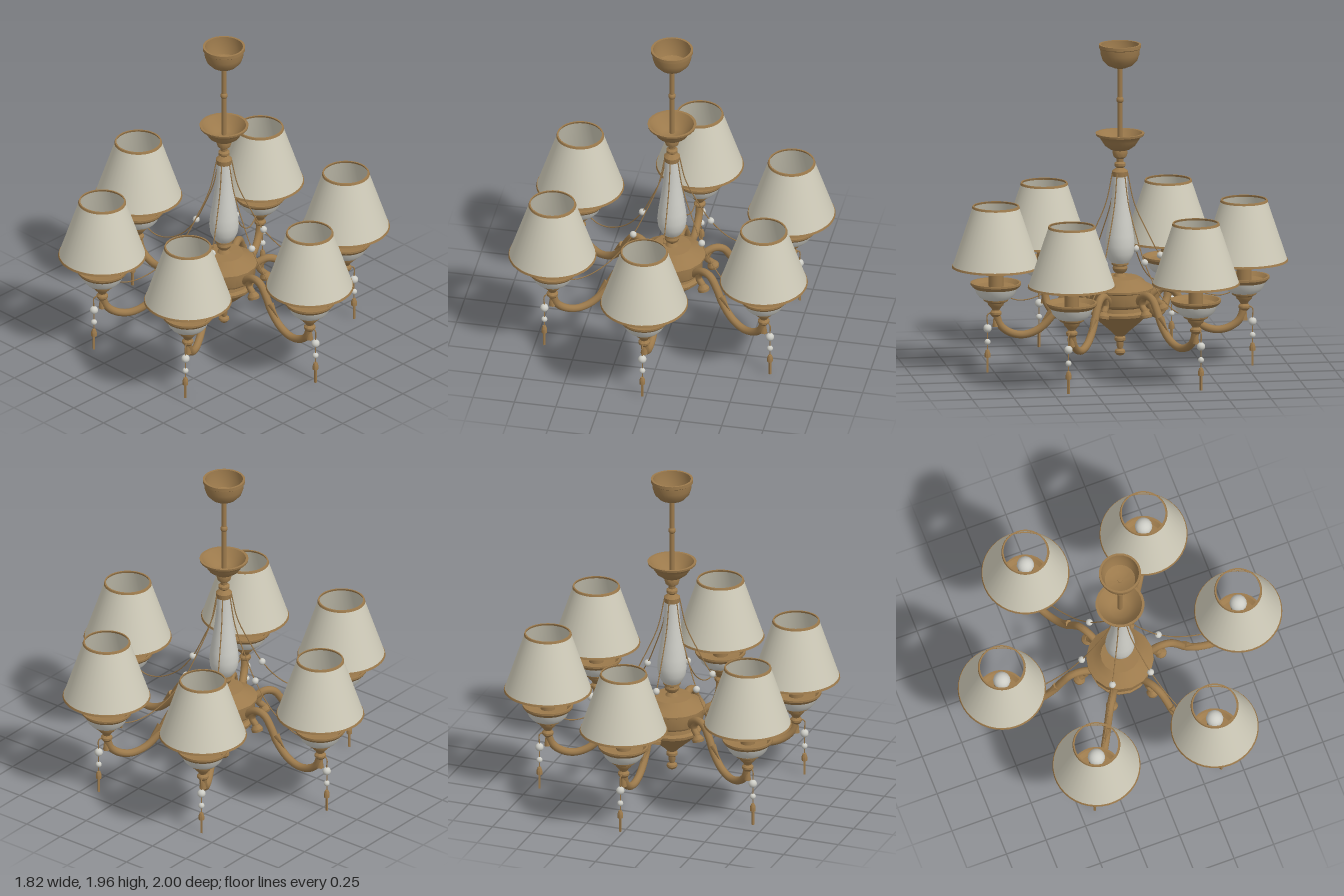
import * as THREE from 'three';
import { toCreasedNormals } from 'three/addons/utils/BufferGeometryUtils.js';

const mat = (name, color, side = THREE.FrontSide) => {
  const m = new THREE.MeshStandardMaterial({ color, side });
  m.name = name;
  return m;
};

export function createModel() {
  const gold = mat('antique gold', 0x9c7a4c);
  const cream = mat('cream fabric', 0xcfcbb9, THREE.DoubleSide);
  const glass = mat('pale glass', 0xcdcdc6);

  const model = new THREE.Group();
  model.name = 'chandelier';

  const add = (parent, name, geo, material, x = 0, y = 0, z = 0) => {
    const mesh = new THREE.Mesh(geo, material);
    mesh.name = name;
    mesh.position.set(x, y, z);
    parent.add(mesh);
    return mesh;
  };
  // Turned part from [radius, height] pairs, keeping hard edges sharp
  const turned = (pts, sides = 24) => toCreasedNormals(
    new THREE.LatheGeometry(pts.map(([r, y]) => new THREE.Vector2(r, y)), sides), 0.6);
  const curve = (pts) => new THREE.CatmullRomCurve3(pts.map(([r, y]) => new THREE.Vector3(r, y, 0)));
  const tube = (pts, radius, steps = 32, sides = 8) =>
    new THREE.TubeGeometry(curve(pts), steps, radius, sides);
  const ball = (r) => new THREE.SphereGeometry(r, 14, 10);

  // Ceiling canopy: hollow cup, open at the top
  add(model, 'canopy', turned([
    [0, 1.815], [0.035, 1.818], [0.075, 1.835], [0.103, 1.865], [0.115, 1.9], [0.118, 1.935],
    [0.125, 1.94], [0.125, 1.96], [0.112, 1.96], [0.108, 1.9], [0.09, 1.855], [0.05, 1.835], [0, 1.83],
  ], 32), gold);

  // Hanging rod with its joint
  add(model, 'rod', new THREE.CylinderGeometry(0.014, 0.014, 0.48, 12), gold, 0, 1.6, 0);
  add(model, 'rodJoint', ball(0.022), gold, 0, 1.625, 0);

  // Upper saucer and turned neck
  add(model, 'upperSaucer', turned([
    [0, 1.165], [0.046, 1.165], [0.048, 1.195], [0.036, 1.205], [0.02, 1.215], [0.034, 1.228],
    [0.034, 1.242], [0.02, 1.252], [0.022, 1.27], [0.038, 1.282], [0.045, 1.305], [0.042, 1.322],
    [0.06, 1.328], [0.09, 1.35], [0.11, 1.38], [0.122, 1.4], [0.142, 1.412], [0.145, 1.425],
    [0.13, 1.425], [0.1, 1.385], [0.06, 1.35], [0, 1.34],
  ], 28), gold);

  // Glass vase stem
  add(model, 'vaseStem', turned([
    [0, 0.63], [0.04, 0.632], [0.065, 0.66], [0.082, 0.7], [0.088, 0.75], [0.082, 0.81],
    [0.068, 0.9], [0.055, 0.99], [0.046, 1.08], [0.042, 1.17],
  ]), glass);

  // Turned central body, from the bottom finial to the collar below the vase
  add(model, 'centralBody', turned([
    [0, 0.08], [0.02, 0.085], [0.032, 0.1], [0.03, 0.113], [0.015, 0.123], [0.02, 0.14],
    [0.022, 0.165], [0.034, 0.175], [0.034, 0.19], [0.026, 0.2], [0.045, 0.22], [0.08, 0.25],
    [0.12, 0.285], [0.15, 0.315], [0.175, 0.335], [0.178, 0.352], [0.155, 0.362], [0.15, 0.385],
    [0.178, 0.398], [0.185, 0.41], [0.185, 0.478], [0.2, 0.485], [0.2, 0.497], [0.165, 0.515],
    [0.13, 0.54], [0.115, 0.555], [0.04, 0.56], [0.025, 0.58], [0.04, 0.595], [0.045, 0.61],
    [0.04, 0.625], [0.052, 0.632], [0.052, 0.643], [0, 0.645],
  ], 16), gold);

  // Shared geometries for one branch; its local +x points outward
  const R = 0.74;
  const armGeo = tube([
    [0.16, 0.42], [0.205, 0.46], [0.26, 0.482], [0.315, 0.468], [0.36, 0.41], [0.41, 0.325], [0.49, 0.25],
    [0.58, 0.222], [0.66, 0.24], [0.715, 0.285], [R, 0.36]], 0.023, 48, 10);
  const scrollGeo = tube([[0.315, 0.465], [0.28, 0.485], [0.235, 0.465], [0.215, 0.42], [0.245, 0.385]], 0.02, 20);
  const scrollEndGeo = turned([[0, -0.03], [0.034, -0.028], [0.036, -0.012], [0.02, 0.012], [0, 0.018]], 12);
  const leafGeo = new THREE.ConeGeometry(0.022, 0.1, 6);
  const cupGeo = turned([
    [0, 0.335], [0.022, 0.335], [0.034, 0.35], [0.034, 0.362], [0.022, 0.375], [0.03, 0.39],
    [0.045, 0.405], [0.05, 0.42], [0.072, 0.432], [0.075, 0.442], [0, 0.444]]);
  const dishGeo = turned([[0.07, 0.44], [0.095, 0.452], [0.115, 0.475], [0.128, 0.51]], 28);
  const dishRimGeo = turned([
    [0.128, 0.508], [0.138, 0.515], [0.15, 0.53], [0.15, 0.542], [0.138, 0.542], [0.115, 0.52], [0, 0.51]], 28);
  const candleGeo = new THREE.CylinderGeometry(0.044, 0.044, 0.23, 16);
  const shadeGeo = new THREE.CylinderGeometry(0.136, 0.258, 0.365, 40, 1, true);
  const trim = (r, y) => turned([
    [r - 0.006, y], [r + 0.003, y], [r - 0.001, y + 0.012], [r - 0.01, y + 0.012], [r - 0.006, y]], 40);
  const lowerTrimGeo = trim(0.258, 0.634);
  const upperTrimGeo = trim(0.139, 0.991);
  const swagGeo = tube([
    [0.045, 1.185], [0.085, 1.0], [0.165, 0.82], [0.24, 0.68], [0.36, 0.535], [0.5, 0.448],
    [0.6, 0.43], [0.67, 0.45]], 0.0035, 36, 5);
  const hookGeo = tube([[0.745, 0.35], [0.77, 0.358], [0.79, 0.345], [0.79, 0.29]], 0.004, 12, 5);
  const capGeo = turned([[0, 0.09], [0.017, 0.09], [0.017, 0.115], [0.01, 0.135], [0, 0.138]], 10);

  for (let i = 0; i < 6; i++) {
    const branch = new THREE.Group();
    branch.name = 'branch' + (i + 1);
    branch.rotation.y = -(i * 60 + 31.5) * Math.PI / 180;
    model.add(branch);

    // Curved arm with inner scroll and leaf tips
    add(branch, 'arm', armGeo, gold);
    add(branch, 'armScroll', scrollGeo, gold);
    add(branch, 'scrollEnd', scrollEndGeo, gold, 0.25, 0.375, 0).rotation.z = 0.3;
    add(branch, 'innerLeaf', leafGeo, gold, 0.435, 0.335, 0).rotation.z = -2.4;
    add(branch, 'outerLeaf', leafGeo, gold, 0.745, 0.325, 0).rotation.z = -0.1;

    // Lamp holder: cup, glass dish, rim, candle and bulb
    add(branch, 'lampCup', cupGeo, gold, R);
    add(branch, 'glassDish', dishGeo, glass, R);
    add(branch, 'dishRim', dishRimGeo, gold, R);
    add(branch, 'candle', candleGeo, gold, R, 0.625, 0);
    add(branch, 'bulb', ball(0.052), glass, R, 0.775, 0);

    // Open fabric shade with gold edging
    add(branch, 'shade', shadeGeo, cream, R, 0.8175, 0);
    add(branch, 'lowerTrim', lowerTrimGeo, gold, R);
    add(branch, 'upperTrim', upperTrimGeo, gold, R);

    // Swagged wire with a glass bead
    add(branch, 'swagWire', swagGeo, gold);
    add(branch, 'swagBead', ball(0.021), glass, 0.24, 0.68, 0);

    // Hanging pendant
    add(branch, 'pendantHook', hookGeo, gold);
    add(branch, 'pendantWire', new THREE.CylinderGeometry(0.003, 0.003, 0.17, 5), gold, 0.79, 0.215, 0);
    add(branch, 'largeBead', ball(0.025), glass, 0.79, 0.265, 0);
    add(branch, 'smallBead', ball(0.018), glass, 0.79, 0.183, 0);
    add(branch, 'pendantCap', capGeo, gold, 0.79);
    add(branch, 'pendantDrop', new THREE.BoxGeometry(0.012, 0.095, 0.012), gold, 0.79, 0.0475, 0);
  }
  return model;
}
